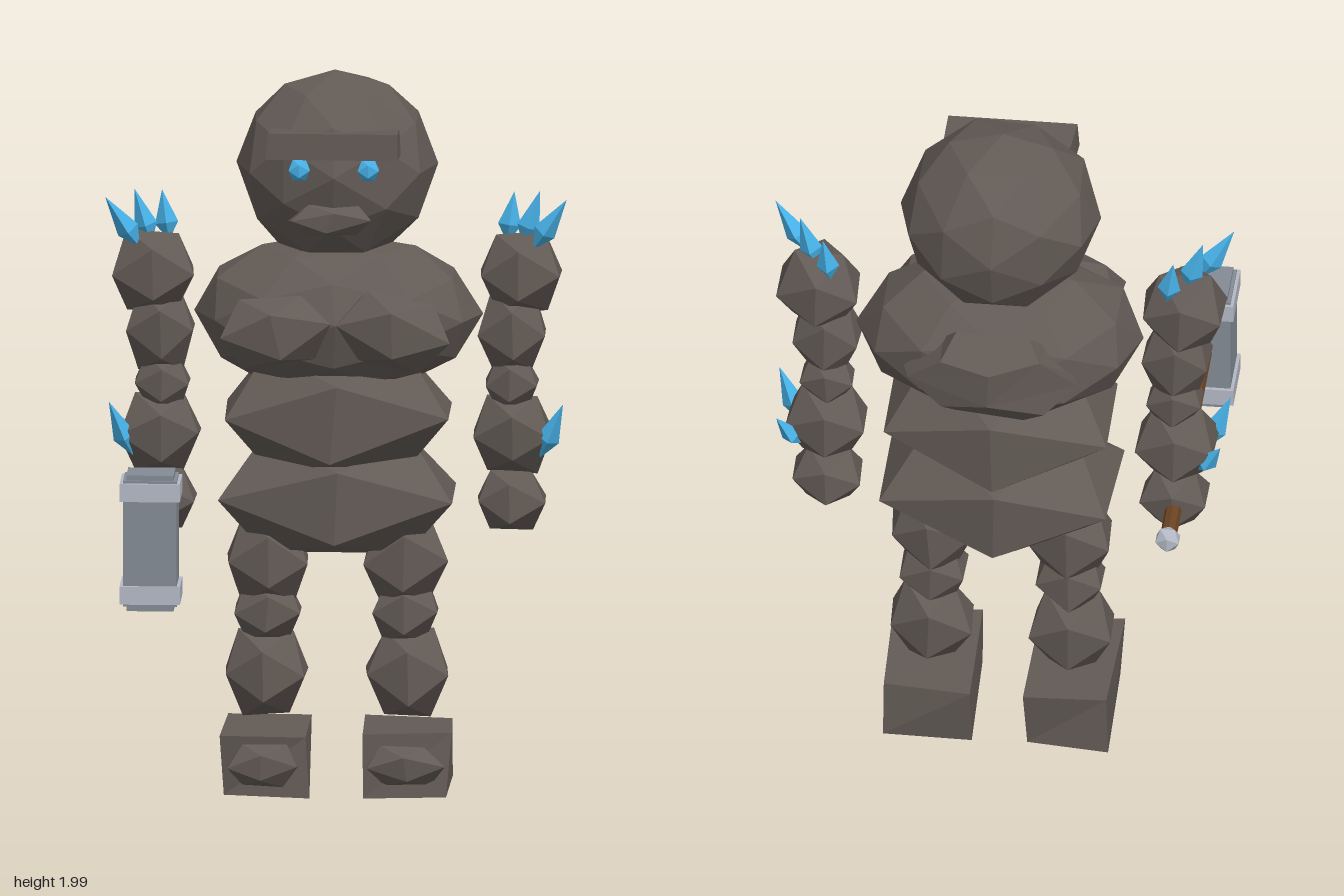
import * as THREE from 'three';

const mat = (name, color) => {
  const m = new THREE.MeshStandardMaterial({ color });
  m.name = name;
  return m;
};

export function createModel() {
  const stone = mat('stone', 0x625a55);
  const crystal = mat('crystal blue', 0x46b0e6);
  const wood = mat('wood', 0x6b4423);
  const steel = mat('steel', 0x838b94);
  const paleSteel = mat('pale steel', 0xb2b8c4);
  const root = new THREE.Group();
  root.name = 'stoneGolem';

  // Shift corners by a repeatable amount, then give every face a flat normal
  function rough(geo, amount, seed) {
    const g = geo.index ? geo.toNonIndexed() : geo;
    const p = g.attributes.position;
    const hash = (a, b, c, k) => {
      const s = Math.sin(a * 12.99 + b * 78.23 + c * 37.72 + k * 4.13 + seed * 9.7) * 437.58;
      return (s - Math.floor(s) - 0.5) * 2 * amount;
    };
    for (let i = 0; i < p.count; i++) {
      const [x, y, z] = [p.getX(i), p.getY(i), p.getZ(i)].map(v => Math.round(v * 1000) / 1000 + 0);
      p.setXYZ(i, x + hash(x, y, z, 1), y + hash(x, y, z, 2), z + hash(x, y, z, 3));
    }
    return g;
  }

  function add(name, geo, material, pos, parent = root) {
    geo.computeVertexNormals();
    const mesh = new THREE.Mesh(geo, material);
    mesh.name = name;
    mesh.position.set(...pos);
    parent.add(mesh);
    return mesh;
  }

  // Faceted boulder with given radii
  let seed = 1;
  function rock(name, pos, radii, { detail = 0, jitter = 0.05, parent = root, material = stone } = {}) {
    const g = rough(new THREE.IcosahedronGeometry(1, detail), jitter, seed++);
    g.scale(...radii);
    return add(name, g, material, pos, parent);
  }

  // Uneven stone block
  function block(name, pos, size, jitter, parent = root) {
    const g = rough(new THREE.BoxGeometry(1, 1, 1), jitter, seed++);
    g.scale(...size);
    return add(name, g, stone, pos, parent);
  }

  // Crystal shard stretched from a base point to a tip
  function shard(name, base, tip, width, parent) {
    const a = new THREE.Vector3(...base), b = new THREE.Vector3(...tip);
    const dir = b.clone().sub(a), len = dir.length();
    const g = new THREE.CylinderGeometry(0, width, len * 0.65, 4).toNonIndexed();
    g.translate(0, len * 0.175, 0);
    const mesh = add(name, g, crystal, a.clone().lerp(b, 0.5).toArray(), parent);
    mesh.quaternion.setFromUnitVectors(new THREE.Vector3(0, 1, 0), dir.normalize());
    const lower = new THREE.ConeGeometry(width, len * 0.35, 4).toNonIndexed();
    lower.rotateX(Math.PI);
    lower.translate(0, -len * 0.325, 0);
    add(name + 'Root', lower, crystal, [0, 0, 0], mesh);
  }

  // Torso
  rock('chest', [0, 1.325, -0.25], [0.4, 0.22, 0.27], { detail: 1, jitter: 0.025 });
  rock('abdomen', [0, 1.05, -0.24], [0.365, 0.205, 0.293], { jitter: 0.03 });
  rock('hips', [0, 0.82, -0.245], [0.37, 0.19, 0.288], { jitter: 0.03 });
  const back = rough(new THREE.DodecahedronGeometry(1), 0.06, 5);
  back.scale(0.25, 0.145, 0.09);
  add('backPlate', back, stone, [0, 1.34, -0.485]);

  // Head and face
  rock('head', [0, 1.735, -0.26], [0.276, 0.268, 0.268], { detail: 1, jitter: 0.025 });
  block('brow', [0, 1.825, -0.055], [0.37, 0.07, 0.11], 0.03);
  rock('mouth', [-0.01, 1.615, -0.03], [0.13, 0.048, 0.05], { jitter: 0.1 });

  for (const s of [-1, 1]) {
    const side = s > 0 ? 'left' : 'right';
    rock(side + 'Eye', [s * 0.095, 1.76, -0.01], [0.034, 0.034, 0.034], { jitter: 0, material: crystal });
    const pec = rock(side + 'ChestPlate', [s * 0.165, 1.31, -0.01], [0.17, 0.115, 0.098], { jitter: 0.09 });
    pec.rotation.z = -s * 0.12;

    // Arm: stacked boulders from shoulder to hand
    const arm = new THREE.Group();
    arm.name = side + 'Arm';
    root.add(arm);
    const armRocks = [
      ['shoulder', 0.505, 1.44, 0.132, 0.128],
      ['upperArm', 0.485, 1.275, 0.108, 0.13],
      ['elbow', 0.48, 1.13, 0.085, 0.085],
      ['forearm', 0.485, 0.99, 0.125, 0.125],
      ['hand', 0.48, 0.805, 0.108, 0.1],
    ];
    for (const [name, x, y, r, ry] of armRocks)
      rock(name, [s * x, y, -0.25], [r, ry, r], { parent: arm });

    const shards = [
      [[0.54, 1.51, -0.2], [0.635, 1.655, -0.17]],
      [[0.51, 1.51, -0.255], [0.558, 1.665, -0.255]],
      [[0.465, 1.51, -0.32], [0.485, 1.65, -0.335]],
      [[0.56, 0.93, -0.2], [0.625, 1.085, -0.165]],
      [[0.55, 0.93, -0.3], [0.615, 1.03, -0.33]],
    ];
    for (const [a, b] of shards)
      shard('crystalShard', [s * a[0], a[1], a[2]], [s * b[0], b[1], b[2]], 0.032, arm);

    // Leg and foot
    const leg = new THREE.Group();
    leg.name = side + 'Leg';
    root.add(leg);
    const legRocks = [
      ['thigh', 0.19, 0.64, 0.132, 0.14],
      ['knee', 0.19, 0.495, 0.108, 0.1],
      ['shin', 0.195, 0.325, 0.132, 0.14],
    ];
    for (const [name, x, y, r, ry] of legRocks)
      rock(name, [s * x, y, -0.24], [r, ry, r], { parent: leg });
    block('foot', [s * 0.195, 0.098, -0.195], [0.24, 0.17, 0.37], 0.05, leg);
    rock('toe', [s * 0.195, 0.1, -0.01], [0.12, 0.066, 0.056], { jitter: 0.08, parent: leg });
  }

  // Hammer held in the right hand, pointing forward
  const hammer = new THREE.Group();
  hammer.name = 'hammer';
  hammer.position.set(-0.485, 0.81, 0);
  root.add(hammer);
  const shaft = new THREE.CylinderGeometry(0.023, 0.023, 0.9, 8).toNonIndexed();
  shaft.rotateX(Math.PI / 2);
  add('handle', shaft, wood, [0, 0, -0.03], hammer);
  rock('pommel', [0, 0, -0.468], [0.038, 0.038, 0.038], { jitter: 0, parent: hammer, material: paleSteel });
  add('hammerHead', new THREE.BoxGeometry(0.148, 0.35, 0.155), steel, [0, 0, 0.482], hammer);
  for (const s of [-1, 1]) {
    add('hammerBand', new THREE.BoxGeometry(0.166, 0.05, 0.176), paleSteel, [0, s * 0.143, 0.482], hammer);
    add('hammerFace', new THREE.BoxGeometry(0.13, 0.02, 0.14), steel, [0, s * 0.179, 0.482], hammer);
  }
  return root;
}
